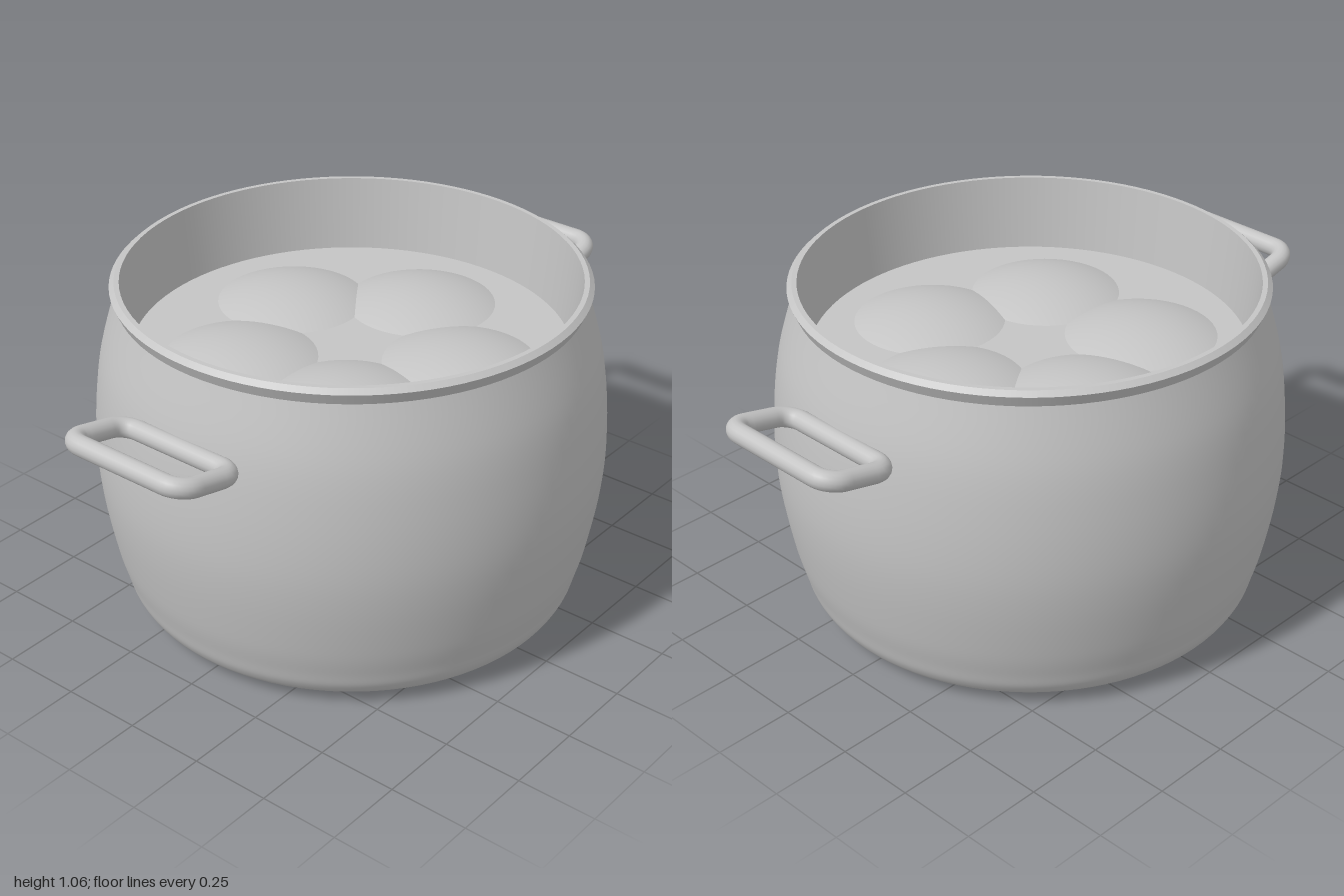
import * as THREE from 'three';

const steel = new THREE.MeshStandardMaterial({ color: 0xc4c4c4 });
steel.name = 'steel grey';

function add(parent, name, geometry) {
  const mesh = new THREE.Mesh(geometry, steel);
  mesh.name = name;
  parent.add(mesh);
  return mesh;
}

const vectors = (pairs) => pairs.map(([r, y]) => new THREE.Vector2(r, y));
const lathe = (points) => new THREE.LatheGeometry(points, 96);

export function createModel() {
  const pot = new THREE.Group();
  pot.name = 'cookingPot';

  // Bulging outer wall, curving in to a shallow foot
  const wall = new THREE.SplineCurve(vectors([
    [0.48, 0], [0.6, 0.014], [0.665, 0.035], [0.698, 0.075], [0.715, 0.13], [0.738, 0.22],
    [0.765, 0.38], [0.775, 0.52], [0.768, 0.68], [0.745, 0.84], [0.695, 1.015],
  ]));
  add(pot, 'outerWall', lathe(wall.getPoints(60)));
  add(pot, 'base', lathe(vectors([[0, 0], [0.48, 0]])));

  // Rim and inner wall as separate bands, so their edges stay sharp
  const rim = vectors([
    [0.695, 1.015], [0.71, 1.05], [0.695, 1.064], [0.68, 1.064], [0.655, 0.82],
  ]);
  ['rimSide', 'rimBevel', 'rimTop', 'innerWall'].forEach((name, i) => {
    add(pot, name, lathe([rim[i], rim[i + 1]]));
  });

  // Liquid surface with five shallow domes in a ring
  const level = 0.83;
  add(pot, 'soup', lathe(vectors([[0.657, level], [0, level]])));
  const domeRadius = 0.23, domeHeight = 0.045;
  const sphereRadius = (domeRadius ** 2 + domeHeight ** 2) / (2 * domeHeight);
  const capAngle = Math.asin(domeRadius / sphereRadius);
  const cap = new THREE.SphereGeometry(sphereRadius, 48, 10, 0, Math.PI * 2, 0, capAngle);
  for (let i = 0; i < 5; i++) {
    const a = (i * Math.PI * 2) / 5;
    const dome = add(pot, 'dumpling', cap);
    dome.position.set(0.34 * Math.cos(a), level + domeHeight - sphereRadius, 0.34 * Math.sin(a));
  }

  // Rounded rectangular loop handles, tilted upwards
  const x0 = 0.755, x1 = 0.97, w = 0.21, r = 0.055, q = Math.PI / 2;
  const outline = new THREE.Shape();
  outline.absarc(x1 - r, w - r, r, 0, q);
  outline.absarc(x0 + r, w - r, r, q, 2 * q);
  outline.absarc(x0 + r, r - w, r, 2 * q, 3 * q);
  outline.absarc(x1 - r, r - w, r, 3 * q, 4 * q);
  outline.closePath();
  const path = outline.getSpacedPoints(80).slice(0, -1)
    .map((p) => new THREE.Vector3(p.x, 0.813 + (p.x - x0) * 0.23, p.y));
  const loop = new THREE.TubeGeometry(new THREE.CatmullRomCurve3(path, true), 120, 0.03, 16, true);
  add(pot, 'leftHandle', loop);
  add(pot, 'rightHandle', loop).rotation.y = Math.PI;

  return pot;
}
